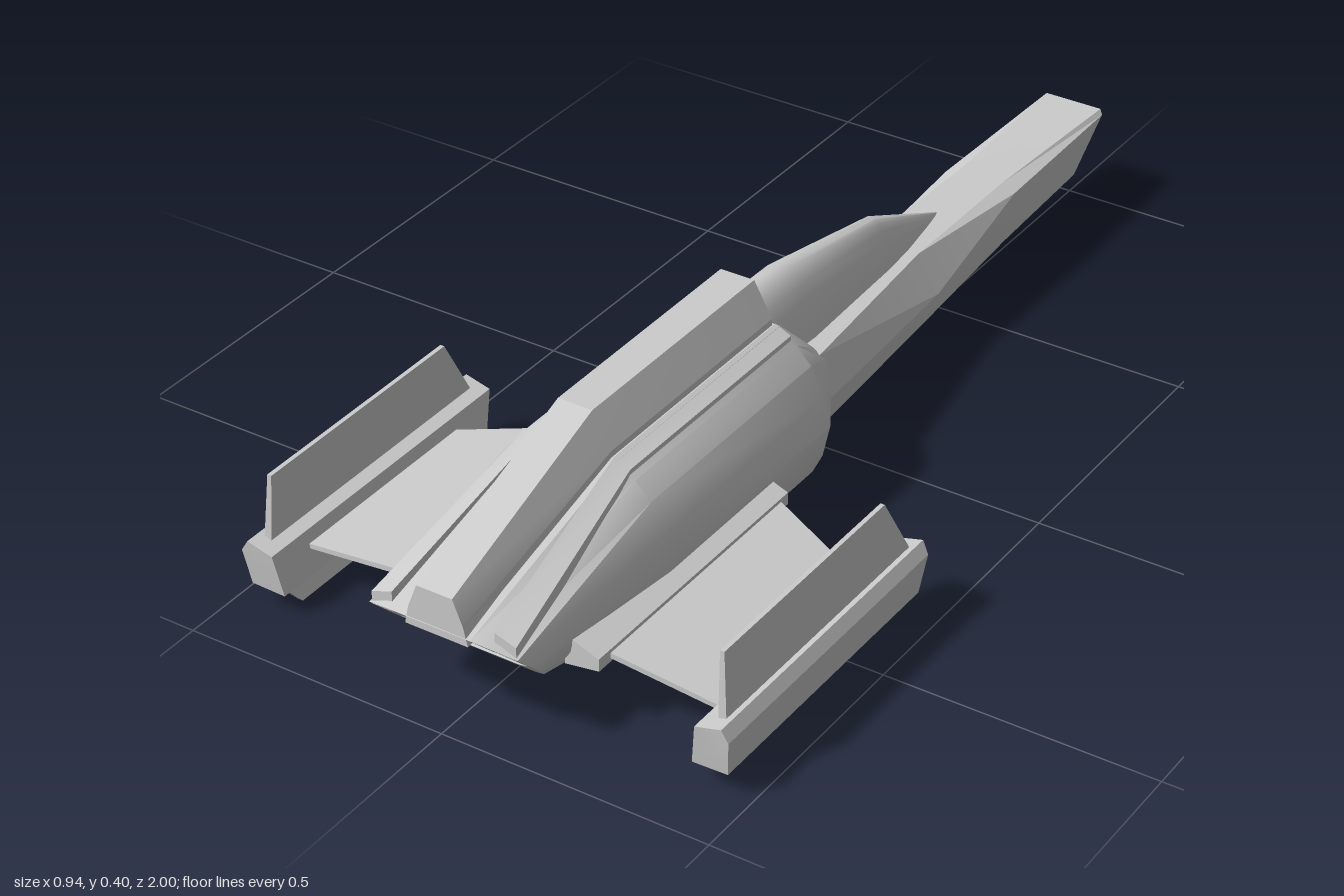
import * as THREE from 'three';
import { toCreasedNormals } from 'three/addons/utils/BufferGeometryUtils.js';

const hullGrey = new THREE.MeshStandardMaterial({ color: 0xcccccc });
hullGrey.name = 'hull grey';

// Skin closed rings of [x, y, z], counterclockwise seen from +z, ordered by rising z; both ends capped.
function loft(name, rings, crease = 0.5) {
  const pos = [];
  const n = rings[0].length;
  const tri = (...p) => p.forEach((v) => pos.push(...v));
  const centre = (r) => [0, 1, 2].map((k) => r.reduce((s, p) => s + p[k], 0) / n);
  for (let i = 0; i < rings.length - 1; i++) {
    for (let j = 0; j < n; j++) {
      const k = (j + 1) % n;
      const a = rings[i][j], b = rings[i][k], c = rings[i + 1][k], d = rings[i + 1][j];
      tri(a, b, c);
      tri(a, c, d);
    }
  }
  const first = rings[0], last = rings[rings.length - 1];
  for (let j = 0; j < n; j++) {
    const k = (j + 1) % n;
    tri(centre(first), first[k], first[j]);
    tri(centre(last), last[j], last[k]);
  }
  const geo = new THREE.BufferGeometry();
  geo.setAttribute('position', new THREE.Float32BufferAttribute(pos, 3));
  const mesh = new THREE.Mesh(toCreasedNormals(geo, crease), hullGrey);
  mesh.name = name;
  return mesh;
}

// Full symmetric ring from right-hand points, bottom to top; z is a number or a rule of y.
function ring(half, z) {
  const zOf = typeof z === 'function' ? z : () => z;
  const other = half.filter((p) => p[0] > 0).reverse().map(([x, y]) => [-x, y]);
  return [...half, ...other].map(([x, y]) => [x, y, zOf(y)]);
}

const inset = (half, s, cy) => half.map(([x, y]) => [x * s, cy + (y - cy) * s]);

// Same part on both sides of the ship
function pair(group, name, rings) {
  group.add(loft('left' + name, rings));
  group.add(loft('right' + name, rings.map((r) => r.map(([x, y, z]) => [-x, y, z]).reverse())));
}

// Section swept along z, with its own start and end z at each corner
const bar = (pts, z0, z1) => [z0, z1].map((zs) => pts.map(([x, y], i) => [x, y, Array.isArray(zs) ? zs[i] : zs]));

export function createModel() {
  const ship = new THREE.Group();
  ship.name = 'spaceship';

  // Main hull with slanted, recessed exhaust
  const collar = [[0, 0.065], [0.09, 0.065], [0.11, 0.1], [0.125, 0.15], [0.122, 0.19], [0.112, 0.225], [0.09, 0.24], [0.06, 0.25], [0, 0.25]];
  const main = [[0, 0.06], [0.145, 0.06], [0.165, 0.1], [0.18, 0.165], [0.167, 0.215], [0.142, 0.27], [0.112, 0.3], [0.08, 0.328], [0, 0.328]];
  const tail = [[0, 0.062], [0.08, 0.062], [0.125, 0.1], [0.147, 0.14], [0.147, 0.165], [0.142, 0.187], [0.11, 0.197], [0.065, 0.204], [0, 0.204]];
  const hex = [[0, 0.085], [0.065, 0.085], [0.095, 0.112], [0.122, 0.138], [0.105, 0.153], [0.09, 0.167], [0.072, 0.182], [0.055, 0.196], [0, 0.196]];
  const slant = (y) => 0.795 + y;
  ship.add(loft('hull', [
    ring(collar, 0.06), ring(main, 0.15), ring(main, 0.62), ring(tail, slant),
    ring(hex, slant), ring(inset(hex, 0.85, 0.14), (y) => slant(y) - 0.05),
  ], 0.6));

  // Dorsal spine
  const spine = [[0, 0.27], [0.068, 0.27], [0.068, 0.34], [0.033, 0.404], [0, 0.404]];
  const spineTail = [[0, 0.19], [0.06, 0.19], [0.052, 0.225], [0.034, 0.27], [0, 0.27]];
  ship.add(loft('spine', [ring(spine, 0.155), ring(spine, 0.62), ring(spineTail, 0.998)], 0.3));

  // Shoulder rails beside the spine
  const rail = (x, y, z, w = 0.015) => [[x - w, y - 0.02, z], [x + w, y - 0.02, z], [x + w, y + 0.004, z], [x - w, y + 0.018, z]];
  pair(ship, 'ShoulderRail', [rail(0.088, 0.313, 0.152), rail(0.088, 0.313, 0.62), rail(0.118, 0.204, 0.98, 0.02)]);

  // Long forward neck with hollow slanted tip
  const section = (b, wb, w, mid, wt, top) => [[0, b], [wb, b], [w, mid], [wt, top], [0, top]];
  const tip = section(0.087, 0.048, 0.065, 0.188, 0.058, 0.196);
  const rake = (y) => -1 + (0.196 - y) * 0.7;
  const mouth = inset(tip, 0.75, 0.142);
  ship.add(loft('neck', [
    ring(inset(tip, 0.65, 0.142), (y) => rake(y) + 0.05), ring(mouth, rake), ring(tip, rake),
    ring(section(0.082, 0.055, 0.073, 0.188, 0.045, 0.2), -0.65),
    ring(section(0.074, 0.07, 0.092, 0.135, 0.05, 0.205), -0.35),
    ring(section(0.065, 0.09, 0.125, 0.15, 0.108, 0.237), 0.07),
  ], 0.3));

  // Rounded canopy
  const dome = (w, top, base, z) => {
    const half = [[0, base]];
    for (let i = 0; i <= 8; i++) {
      const a = (i / 8) * Math.PI / 2;
      half.push([i === 8 ? 0 : w * Math.cos(a), base + (top - base) * Math.sin(a)]);
    }
    return ring(half, z);
  };
  ship.add(loft('canopy', [
    dome(0.008, 0.2, 0.17, -0.5), dome(0.042, 0.305, 0.17, -0.27),
    dome(0.072, 0.358, 0.18, 0.02), dome(0.076, 0.36, 0.18, 0.16),
  ], 0.7));

  // Wing roots, wings and pods
  pair(ship, 'WingRoot', bar([[0.14, 0.105], [0.205, 0.115], [0.205, 0.138], [0.155, 0.157], [0.14, 0.15]], 0.32, 0.86));
  pair(ship, 'Wing', bar([[0.19, 0.124], [0.41, 0.085], [0.41, 0.094], [0.19, 0.134]], [0.335, 0.415, 0.415, 0.335], [0.83, 0.81, 0.81, 0.83]));
  pair(ship, 'Pod', bar([[0.396, 0.041], [0.462, 0.043], [0.47, 0.112], [0.457, 0.133], [0.408, 0.12]],
    [0.34, 0.33, 0.315, 0.31, 0.31], [0.89, 0.89, 0.9, 0.9, 0.9]));
  pair(ship, 'UpperFin', bar([[0.432, 0.12], [0.447, 0.12], [0.438, 0.247], [0.43, 0.247]],
    [0.33, 0.33, 0.4, 0.4], [0.87, 0.87, 0.86, 0.86]));
  pair(ship, 'LowerFin', bar([[0.402, 0], [0.412, 0], [0.432, 0.05], [0.415, 0.05]],
    [0.43, 0.43, 0.34, 0.34], [0.84, 0.84, 0.88, 0.88]));

  return ship;
}
